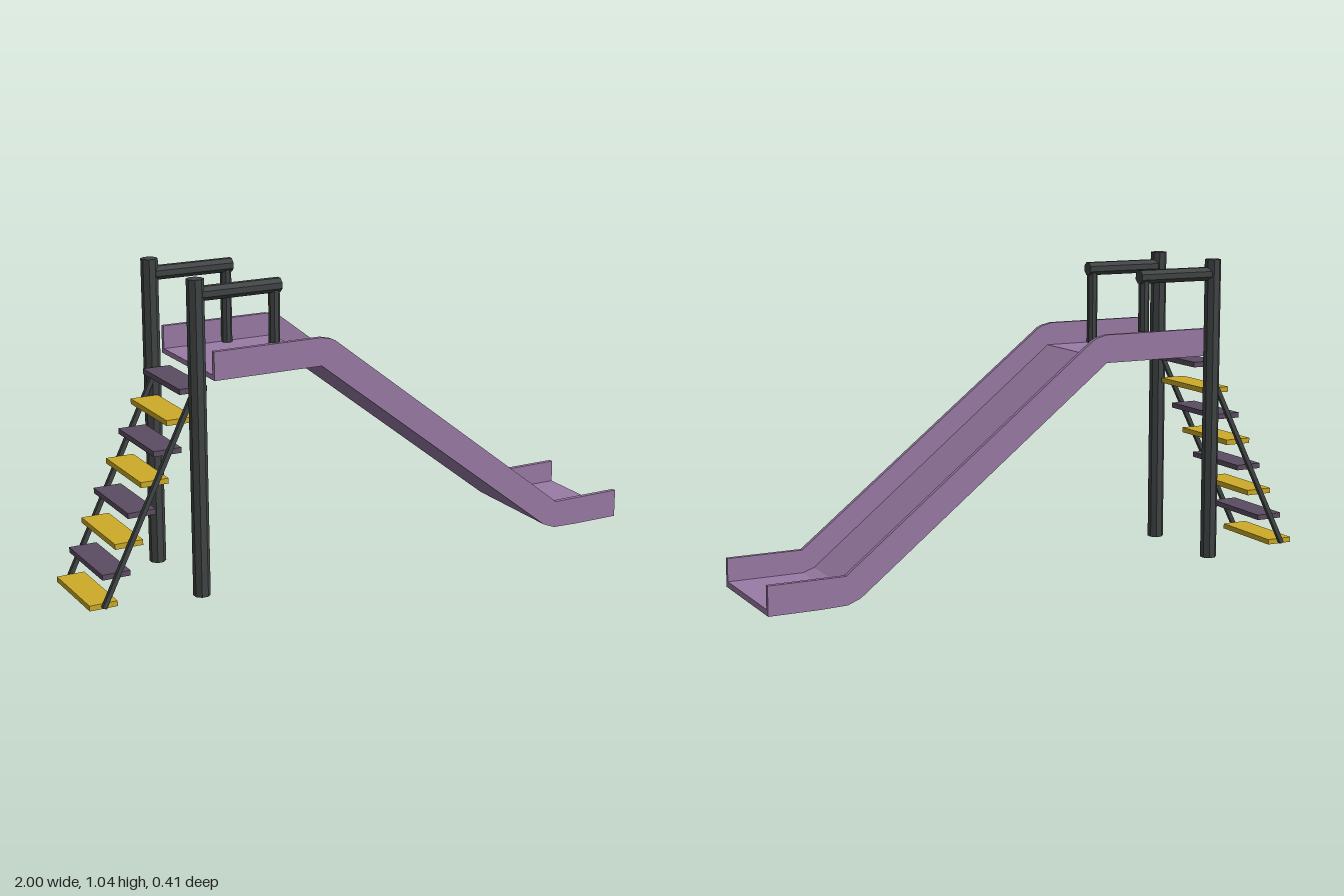
import * as THREE from 'three';

const mat = (color) => new THREE.MeshStandardMaterial({ color, flatShading: true });

export function createModel() {
  const model = new THREE.Group();
  const purple = mat(0x9a7ba5), dark = mat(0x414545), yellow = mat(0xcdab28), plum = mat(0x5c4d62);

  const add = (name, geometry, material, x = 0, y = 0, z = 0) => {
    const mesh = new THREE.Mesh(geometry, material);
    mesh.name = name;
    mesh.position.set(x, y, z);
    model.add(mesh);
    return mesh;
  };

  // Side profile given as x, y points, extruded across the slide
  const profile = (points, depth) => {
    const shape = new THREE.Shape(points.map(([x, y]) => new THREE.Vector2(x, y)));
    return new THREE.ExtrudeGeometry(shape, { depth, bevelEnabled: false }).translate(0, 0, -depth / 2);
  };

  // Eight-sided pole with flat sides facing the axes
  const pole = (width, length) =>
    new THREE.CylinderGeometry(width / 2 / Math.cos(Math.PI / 8), width / 2 / Math.cos(Math.PI / 8), length, 8)
      .rotateY(Math.PI / 8);

  // Slide: a thin floor between two raised walls
  const underside = [[-0.58, 0.716], [-0.2, 0.716], [0.69, 0.021], [0.735, 0.003], [0.83, 0], [1, 0]];
  const floorTop = [[1, 0.02], [0.74, 0.02], [0.7, 0.033], [-0.185, 0.733], [-0.58, 0.733]];
  const wallTop = [[1, 0.098], [0.74, 0.098], [-0.15, 0.795], [-0.165, 0.802], [-0.2, 0.81], [-0.58, 0.81]];
  add('slideFloor', profile([...underside, ...floorTop], 0.376), purple);
  const wall = profile([...underside, ...wallTop], 0.016);

  // Ladder line, from the lowest step to the highest
  const low = new THREE.Vector2(-0.953, 0.015), high = new THREE.Vector2(-0.627, 0.678);
  const run = high.clone().sub(low);

  for (const [side, s] of [['left', 1], ['right', -1]]) {
    const label = (part) => side + part;
    add(label('SlideWall'), wall, purple, 0, 0, s * 0.196);
    // Tall post with handrail and its short support
    add(label('Post'), pole(0.052, 1.041), dark, -0.628, 0.5225, s * 0.178);
    add(label('Handrail'), pole(0.045, 0.293).rotateZ(Math.PI / 2), dark, -0.4835, 0.994, s * 0.177);
    add(label('HandrailSupport'), pole(0.034, 0.262), dark, -0.356, 0.862, s * 0.177);
    // Ladder side rail
    const rail = add(label('LadderRail'), new THREE.BoxGeometry(0.015, run.length() + 0.01, 0.015), dark,
      (low.x + high.x) / 2, (low.y + high.y) / 2, s * 0.152);
    rail.rotation.z = Math.atan2(-run.x, run.y);
  }

  // Steps in alternating colours
  const step = new THREE.BoxGeometry(0.095, 0.018, 0.29);
  for (let i = 0; i < 8; i++) {
    const p = low.clone().addScaledVector(run, i / 7);
    add('step' + (i + 1), step, i % 2 ? plum : yellow, p.x, p.y, 0);
  }

  return model;
}
